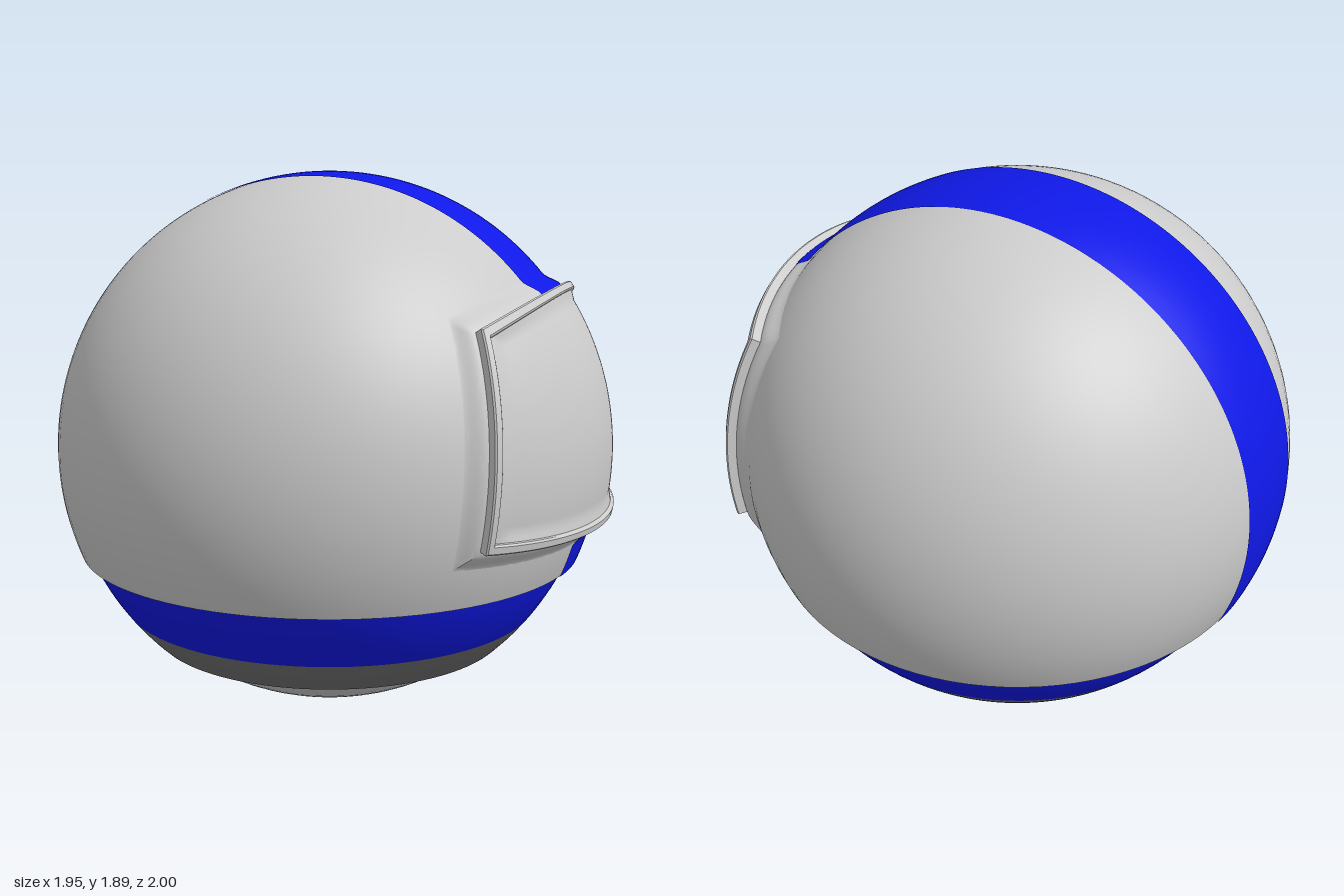
import * as THREE from 'three';
import { toCreasedNormals } from 'three/addons/utils/BufferGeometryUtils.js';

const { lerp, smoothstep, degToRad } = THREE.MathUtils;
const CENTER_Y = 0.915, SHELL_R = 0.975, YAW = degToRad(16.5);
const material = (color) => new THREE.MeshStandardMaterial({ color });
const GREY = material(0xcccccc), BLUE = material(0x0f18e6), DARK = material(0x707070);

// Grid surface; f(u, v) returns a Vector3, faces point along du x dv
function surface(nu, nv, f) {
  const pos = [], index = [];
  for (let j = 0; j <= nv; j++)
    for (let i = 0; i <= nu; i++) pos.push(...f(i / nu, j / nv).toArray());
  for (let j = 0; j < nv; j++)
    for (let i = 0; i < nu; i++) {
      const a = j * (nu + 1) + i, c = a + nu + 1;
      index.push(a, a + 1, c, a + 1, c + 1, c);
    }
  const g = new THREE.BufferGeometry();
  g.setAttribute('position', new THREE.Float32BufferAttribute(pos, 3));
  g.setIndex(index);
  return toCreasedNormals(g, 0.6);
}

// Visor outline in angles: u in -1..1 across, v in 0..1 up
const topEl = (u) => degToRad(36 - 6.5 * u * u);
const botEl = (u) => degToRad(-10.8 + 1.7 * u * u);
const halfAz = (v) => degToRad(lerp(43, 40, v));

function visorPoint(u, v, offset, r) {
  const az = u * (halfAz(v) + offset);
  const el = lerp(botEl(u) - offset, topEl(u) + offset, v);
  return new THREE.Vector3(Math.cos(el) * Math.sin(az), Math.sin(el), Math.cos(el) * Math.cos(az)).multiplyScalar(r);
}

// Walk the outline counter-clockwise from the lower corner
function outline(s) {
  const side = Math.min(3, Math.floor(s * 4)), k = s * 4 - side;
  return [[2 * k - 1, 0], [1, k], [1 - 2 * k, 1], [-1, 1 - k]][side];
}

// Shell swelling near the visor, by angular distance outside its outline
const flare = (d) => 0.03 * (1 - smoothstep(d, 0, 0.08));

function visorDistance(p) {
  const az = Math.atan2(p.x, p.z), el = Math.asin(p.y / p.length());
  const v = THREE.MathUtils.clamp((el + 0.19) / 0.8, 0, 1);
  const u = THREE.MathUtils.clamp(az / halfAz(v), -1, 1);
  return Math.max(Math.abs(az) - halfAz(v), el - topEl(u), botEl(u) - el);
}

// Lathed spherical zone between two heights, with a flat rim under it
function zone(r, y0, y1, rimR, steps) {
  const a0 = Math.asin((y0 - CENTER_Y) / r);
  const a1 = Math.asin(Math.min(1, (y1 - CENTER_Y) / r));
  const pts = [new THREE.Vector2(rimR, y0 - CENTER_Y)];
  for (let i = 0; i <= steps; i++) {
    const a = lerp(a0, a1, i / steps);
    pts.push(new THREE.Vector2(Math.max(0, r * Math.cos(a)), r * Math.sin(a)));
  }
  return toCreasedNormals(new THREE.LatheGeometry(pts, 96), 0.6);
}

export function createModel() {
  const model = new THREE.Group();
  model.name = 'helmet';
  const body = new THREE.Group();
  body.name = 'helmetBody';
  body.position.set(0, CENTER_Y, -0.025);
  body.rotation.y = YAW;
  model.add(body);
  const add = (name, geometry, mat) => {
    const mesh = new THREE.Mesh(geometry, mat);
    mesh.name = name;
    body.add(mesh);
  };

  // Nested round layers
  add('innerBall', new THREE.SphereGeometry(0.915, 96, 64), GREY);
  add('outerShell', zone(SHELL_R, 0.55, CENTER_Y + SHELL_R, 0.86, 56), GREY);
  add('blueCollar', zone(0.95, 0.34, 0.57, 0.72, 10), BLUE);
  add('darkNeckRing', zone(0.95, 0.22, 0.34, 0.57, 6), DARK);

  // Stripe running from front to back over the crown
  add('stripe', surface(10, 220, (a, b) => {
    const w = lerp(-0.187, 0.187, a);
    const r = SHELL_R + 0.003;
    const rho = Math.sqrt(r * r - w * w);
    const low = Math.asin((0.55 - CENTER_Y) / rho);
    const t = lerp(low, Math.PI - low, b);
    const p = new THREE.Vector3(w, rho * Math.sin(t), rho * Math.cos(t));
    return p.setLength(r + flare(visorDistance(p)));
  }), BLUE);

  // Swollen skirt of the shell around the visor
  add('visorSkirt', surface(128, 10, (s, k) => {
    const d = 0.085 * (1 - k);
    return visorPoint(...outline(s), d, SHELL_R - 0.002 * (1 - k) + flare(d));
  }), GREY);

  // Raised frame swept around the visor outline
  const profile = [[0, 0.99], [0, 1.035], [-0.005, 1.04], [-0.025, 1.04], [-0.03, 1.034], [-0.033, 1.008]];
  add('visorFrame', surface(128, profile.length - 1, (s, k) => {
    const [d, r] = profile[Math.round(k * (profile.length - 1))];
    return visorPoint(...outline(s), d, r);
  }), GREY);

  // Visor pane, its border rising softly into the frame
  add('visorPane', surface(64, 40, (a, v) => {
    const u = 2 * a - 1;
    const edge = Math.min(1 - Math.abs(u), 2 * Math.min(v, 1 - v));
    return visorPoint(u, v, -0.028, 1.015 + 0.012 * (1 - smoothstep(edge, 0, 0.1)));
  }), GREY);

  return model;
}
